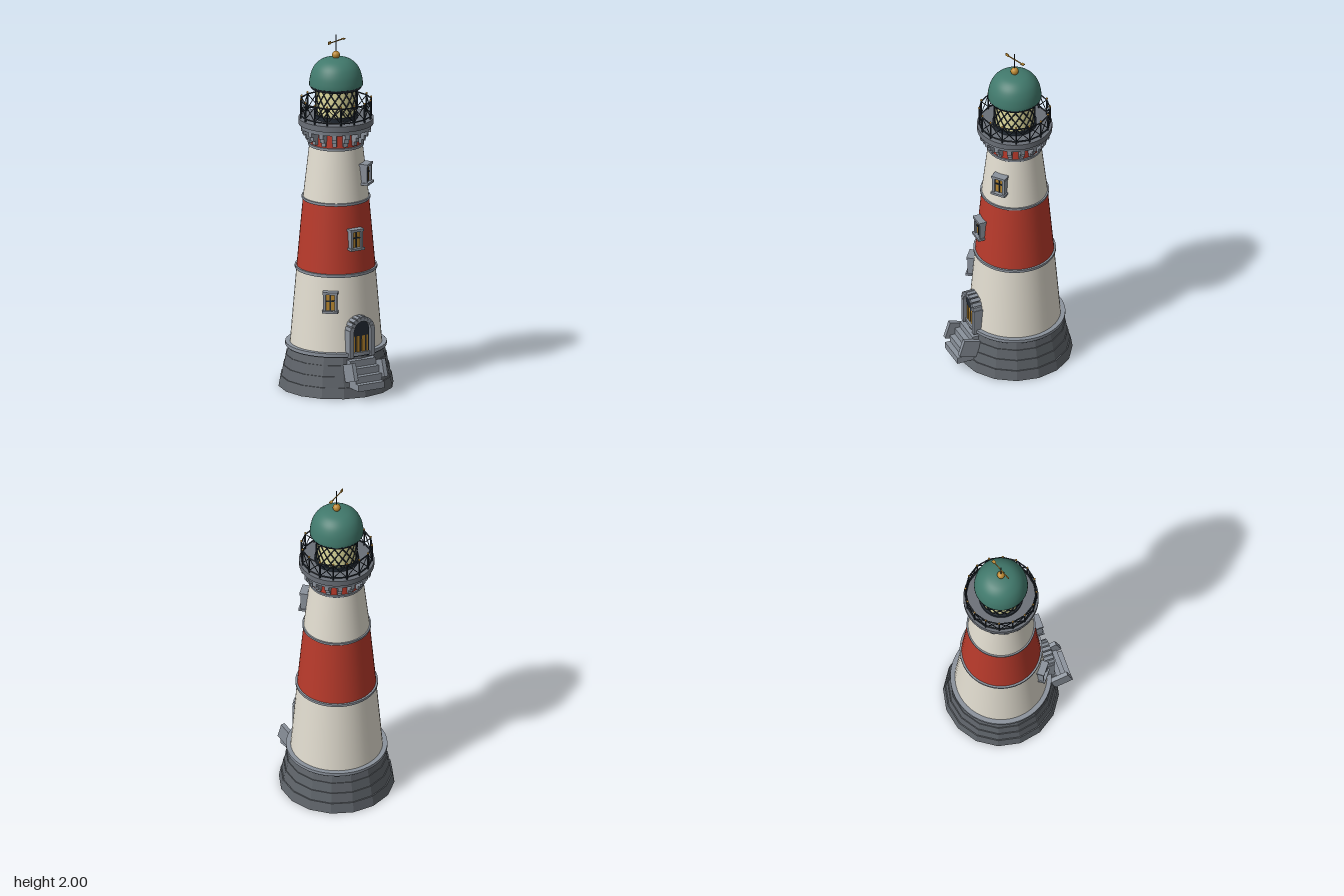
import * as THREE from 'three';

const mat = (name, color, flatShading = false) => {
  const m = new THREE.MeshStandardMaterial({ color, flatShading });
  m.name = name;
  return m;
};

export function createModel() {
  const M = {
    white: mat('whitewash', 0xe2ddd0),
    red: mat('red paint', 0xb83a2b),
    base: mat('dark stone', 0x60656b, true),
    deck: mat('deck stone', 0x6a6f77),
    stone: mat('light stone', 0x8a919b),
    iron: mat('dark iron', 0x222a33),
    green: mat('green copper', 0x41796c),
    gold: mat('brass', 0xbd8a33),
    glass: mat('lantern glass', 0xe3dfa0),
    amber: mat('amber pane', 0xb5852f),
  };
  M.deck.side = M.white.side = M.red.side = M.green.side = THREE.DoubleSide;

  const root = new THREE.Group();
  root.name = 'lighthouse';
  const tower = new THREE.Group();
  tower.name = 'tower';
  tower.position.z = -0.033;
  root.add(tower);

  const add = (parent, name, geo, material, x = 0, y = 0, z = 0) => {
    const mesh = new THREE.Mesh(geo, material);
    mesh.name = name;
    mesh.position.set(x, y, z);
    parent.add(mesh);
    return mesh;
  };
  const box = (parent, name, m, w, h, d, x, y, z) =>
    add(parent, name, new THREE.BoxGeometry(w, h, d), m, x, y, z);
  const drum = (name, m, y0, y1, r0, r1, sides = 48) =>
    add(tower, name, new THREE.CylinderGeometry(r1, r0, y1 - y0, sides), m, 0, (y0 + y1) / 2, 0);
  const group = (parent, name, angle = 0) => {
    const g = new THREE.Group();
    g.name = name;
    g.rotation.y = angle;
    parent.add(g);
    return g;
  };
  // Straight bar between two points
  const bar = (parent, name, m, a, b, r) => {
    const d = b.clone().sub(a);
    const mesh = add(parent, name, new THREE.CylinderGeometry(r, r, d.length(), 6), m);
    mesh.position.copy(a).add(b).multiplyScalar(0.5);
    mesh.quaternion.setFromUnitVectors(new THREE.Vector3(0, 1, 0), d.normalize());
  };
  const polar = (r, a, y) => new THREE.Vector3(Math.sin(a) * r, y, Math.cos(a) * r);

  // Sixteen-sided stepped plinth
  [[0, 0.06, 0.32, 0.31], [0.06, 0.12, 0.304, 0.295], [0.12, 0.18, 0.29, 0.281], [0.18, 0.228, 0.277, 0.269]]
    .forEach(([y0, y1, r0, r1]) => drum('plinthCourse', M.base, y0, y1, r0, r1, 16));

  // Tapered shaft in painted bands
  const bands = [[0.24, 0.255], [0.68, 0.218], [1.08, 0.182], [1.385, 0.147], [1.48, 0.14]];
  for (let i = 0; i < 4; i++) {
    drum('shaftBand', i % 2 ? M.red : M.white, bands[i][0], bands[i + 1][0], bands[i][1], bands[i + 1][1]);
  }
  // Stone string courses with a thin iron line beneath
  [[0.24, 0.28, 0.018], [0.68, 0.228, 0.014], [1.077, 0.19, 0.012], [1.383, 0.155, 0.012]].forEach(([y, r, h]) => {
    drum('stringCourse', M.stone, y - h / 2, y + h / 2, r, r);
    drum('courseShadowLine', M.iron, y - h / 2 - 0.004, y - h / 2, r - 0.004, r - 0.002);
  });

  // Windows facing outwards around the shaft
  [[0.535, 0.232, -38], [0.88, 0.202, 0], [1.225, 0.17, 38]].forEach(([y, r, deg]) => {
    const pivot = group(tower, 'windowPivot', THREE.MathUtils.degToRad(deg));
    const w = group(pivot, 'window');
    w.position.set(0, y, r);
    box(w, 'windowPane', M.amber, 0.054, 0.095, 0.03, 0, 0, 0);
    for (const s of [-1, 1]) box(w, 'windowJamb', M.stone, 0.014, 0.1, 0.044, s * 0.031, 0, 0.005);
    box(w, 'windowLintel', M.stone, 0.084, 0.014, 0.05, 0, 0.053, 0.007);
    box(w, 'windowSill', M.stone, 0.088, 0.013, 0.056, 0, -0.053, 0.009);
    box(w, 'windowMullion', M.iron, 0.007, 0.092, 0.006, 0, 0, 0.017);
    box(w, 'windowTransom', M.iron, 0.05, 0.007, 0.006, 0, 0.008, 0.017);
  });

  // Arched doorway
  const door = group(root, 'doorway');
  box(door, 'doorLeaf', M.iron, 0.11, 0.16, 0.06, 0, 0.297, 0.2);
  add(door, 'doorArchPanel', new THREE.CylinderGeometry(0.056, 0.056, 0.06, 32).rotateX(Math.PI / 2), M.iron, 0, 0.375, 0.204);
  for (const s of [-1, 1]) {
    box(door, 'doorPanel', M.amber, 0.017, 0.1, 0.006, s * 0.017, 0.29, 0.232);
    box(door, 'doorPanel', M.amber, 0.008, 0.1, 0.006, s * 0.042, 0.29, 0.232);
    box(door, 'doorJamb', M.stone, 0.026, 0.155, 0.06, s * 0.067, 0.3, 0.222);
  }
  for (let i = 0; i < 9; i++) {
    const a = -Math.PI / 2 + (i + 0.5) * Math.PI / 9;
    const v = box(door, 'archStone', M.stone, 0.02, 0.025, 0.056, Math.sin(a) * 0.065, 0.375 + Math.cos(a) * 0.065, 0.228);
    v.rotation.z = -a;
  }

  // Entrance stair with tilted side blocks
  const stair = group(root, 'stair');
  for (let i = 0; i < 4; i++) {
    const front = 0.262 + i * 0.03;
    box(stair, 'step', M.stone, 0.166, 0.038, front - 0.2, 0, 0.192 - i * 0.0385, (front + 0.2) / 2);
  }
  for (const s of [-1, 1]) {
    const cheek = box(stair, 'stairCheek', M.stone, 0.024, 0.1, 0.105, s * 0.095, 0.153, 0.285);
    cheek.rotation.x = -0.31;
  }

  // Gallery: stepped corbels and deck
  for (let i = 0; i < 16; i++) {
    const c = group(tower, 'corbel', i * Math.PI / 8 + Math.PI / 16);
    for (let k = 0; k < 3; k++) {
      const out = 0.162 + k * 0.016;
      box(c, 'corbelStep', M.stone, 0.024, 0.026, out - 0.13, 0, 1.412 + k * 0.025, (out + 0.13) / 2);
    }
  }
  drum('galleryMoulding', M.stone, 1.473, 1.497, 0.194, 0.2);
  drum('galleryDeck', M.deck, 1.497, 1.53, 0.208, 0.208);

  // Gallery railing
  const railing = group(tower, 'railing');
  for (let i = 0; i < 16; i++) {
    const a = i * Math.PI / 8, b = a + Math.PI / 8, r = 0.196;
    bar(railing, 'railPost', M.iron, polar(r, a, 1.525), polar(r, a, 1.635), 0.0045);
    add(railing, 'postKnob', new THREE.SphereGeometry(0.006, 10, 8), M.gold).position.copy(polar(r, a, 1.638));
    for (const y of [1.545, 1.628]) bar(railing, 'rail', M.iron, polar(r, a, y), polar(r, b, y), 0.0042);
    bar(railing, 'railBrace', M.iron, polar(r, a, 1.545), polar(r, b, 1.628), 0.0025);
    bar(railing, 'railBrace', M.iron, polar(r, b, 1.545), polar(r, a, 1.628), 0.0025);
  }

  // Lantern room with diagonal lattice
  drum('lanternSill', M.iron, 1.53, 1.552, 0.122, 0.122);
  drum('lanternGlass', M.glass, 1.552, 1.705, 0.11, 0.11);
  for (let i = 0; i < 16; i++) {
    for (const s of [-1, 1]) {
      const pts = [];
      for (let k = 0; k <= 6; k++) pts.push(polar(0.113, i * Math.PI / 8 + s * k * Math.PI / 20, 1.545 + k * 0.0267));
      add(tower, 'latticeBar', new THREE.TubeGeometry(new THREE.CatmullRomCurve3(pts), 10, 0.0036, 5), M.iron);
    }
  }
  drum('lanternEave', M.iron, 1.7, 1.718, 0.138, 0.149);

  // Copper dome
  const dome = new THREE.SplineCurve([[0.148, 1.716], [0.147, 1.742], [0.138, 1.785], [0.117, 1.826], [0.083, 1.855], [0.042, 1.868], [0, 1.872]]
    .map(([x, y]) => new THREE.Vector2(x, y)));
  add(tower, 'dome', new THREE.LatheGeometry(dome.getPoints(24), 48), M.green);

  // Finial and weather vane
  add(tower, 'finialBall', new THREE.SphereGeometry(0.022, 24, 16), M.gold, 0, 1.886, 0);
  drum('vaneRod', M.iron, 1.9, 2, 0.003, 0.003, 8);
  const vane = group(tower, 'weatherVane', 0.35);
  vane.position.y = 1.964;
  box(vane, 'vaneArm', M.gold, 0.13, 0.005, 0.005, 0, 0, 0);
  box(vane, 'vaneTail', M.gold, 0.02, 0.005, 0.016, 0.062, 0, 0);
  box(vane, 'vaneHead', M.gold, 0.022, 0.016, 0.005, -0.056, 0.002, 0);

  return root;
}
